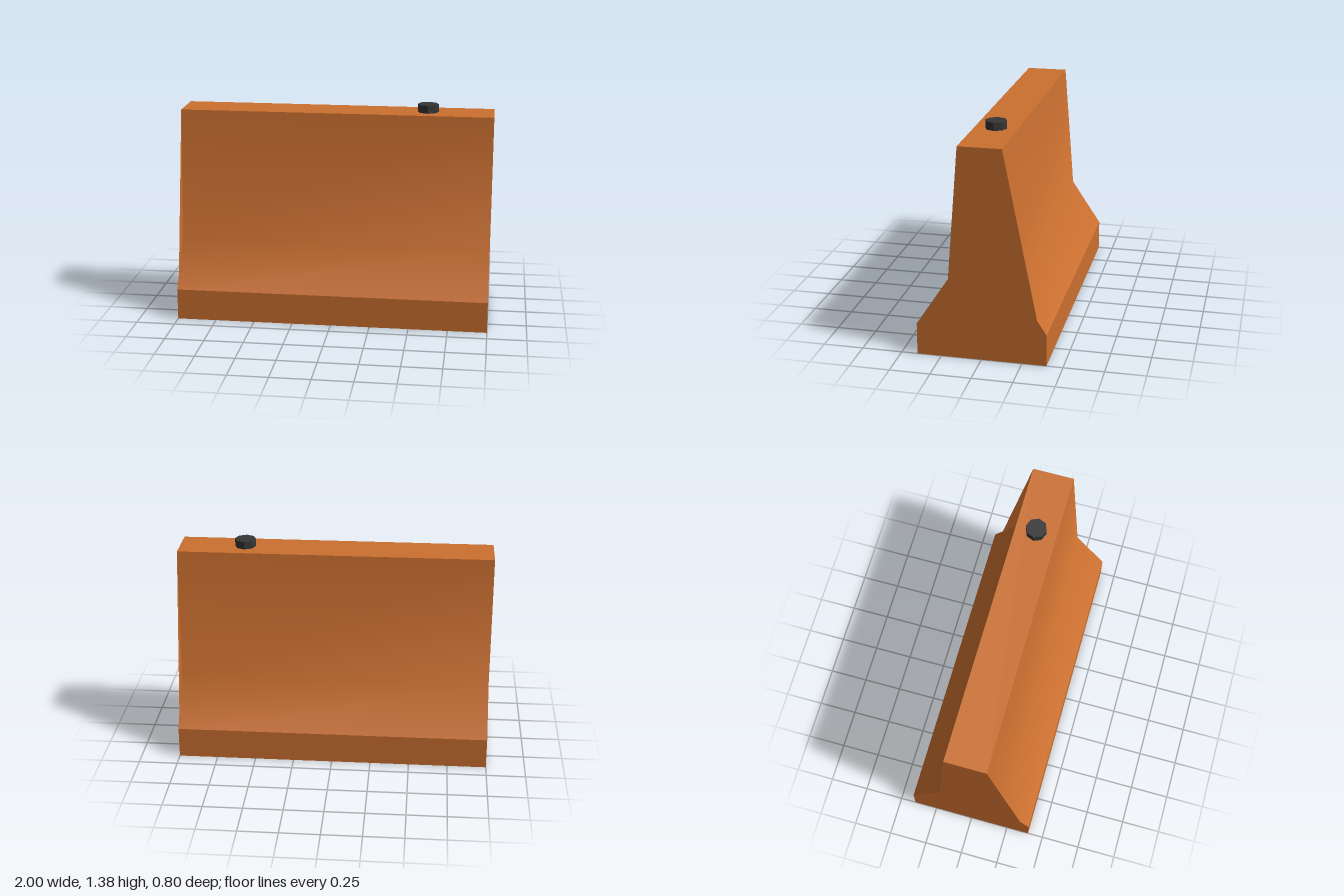
import * as THREE from 'three';
import { toCreasedNormals } from 'three/addons/utils/BufferGeometryUtils.js';

const orange = new THREE.MeshStandardMaterial({ color: 0xcc7030 });
orange.name = 'orange plastic';
orange.side = THREE.DoubleSide;
const black = new THREE.MeshStandardMaterial({ color: 0x363636 });
black.name = 'black cap';

// Half profile as (z, y), from the ground up
const HALF = [[0.4, 0], [0.4, 0.2], [0.2, 0.5], [0.133, 1.333]];

function part(parent, name, geometry, material) {
  const mesh = new THREE.Mesh(geometry, material);
  mesh.name = name;
  parent.add(mesh);
  return mesh;
}

export function createModel() {
  const model = new THREE.Group();
  model.name = 'roadBarrier';

  // Barrier body: mirrored profile swept along x, slopes blended smoothly
  const outline = [...HALF, ...HALF.map(([z, y]) => [-z, y]).reverse()];
  const shape = new THREE.Shape(outline.map(([z, y]) => new THREE.Vector2(z, y)));
  const body = new THREE.ExtrudeGeometry(shape, { depth: 2, bevelEnabled: false });
  body.translate(0, 0, -1).rotateY(Math.PI / 2);
  part(model, 'barrierBody', toCreasedNormals(body, 0.55), orange);

  // Thin end webs filling the hollow of the slope, on opposite corners
  const web = new THREE.Shape([
    new THREE.Vector2(-0.133, 1.333),
    new THREE.Vector2(-0.2, 0.5),
    new THREE.Vector2(-0.342, 0.287),
  ]);
  for (const [name, turn] of [['rightEndWeb', 0], ['leftEndWeb', Math.PI]]) {
    const geometry = new THREE.ShapeGeometry(web);
    geometry.translate(0, 0, -1).rotateY(Math.PI / 2 + turn);
    part(model, name, geometry, orange);
  }

  // Octagonal filler cap on the top
  const cap = new THREE.CylinderGeometry(0.067, 0.067, 0.05, 8).toNonIndexed();
  cap.computeVertexNormals();
  part(model, 'fillerCap', cap, black).position.set(0.58, 1.358, 0);

  return model;
}
